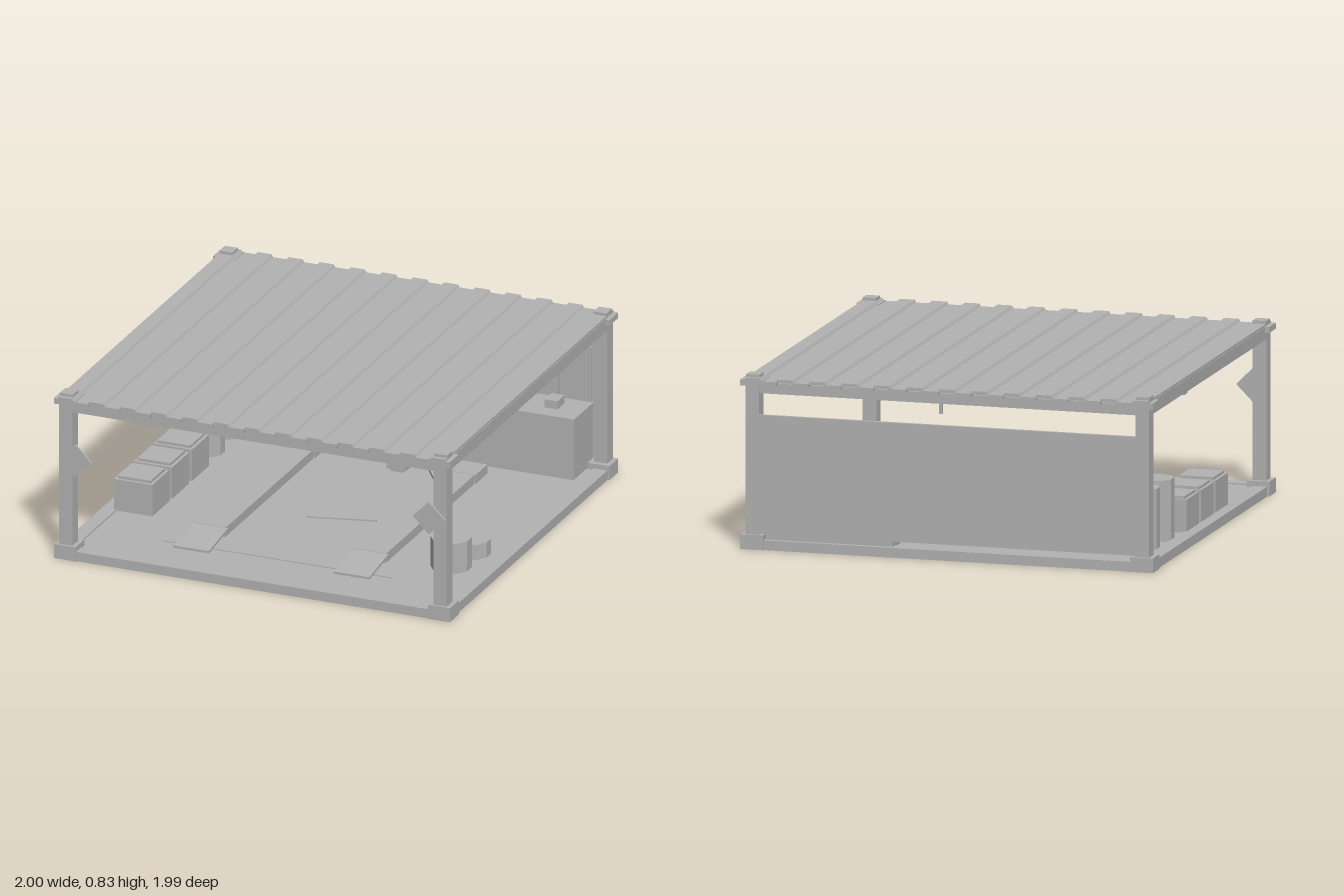
import * as THREE from 'three';

const grey = new THREE.MeshStandardMaterial({ color: 0xb2b2b2 });
grey.name = 'plain grey';

export function createModel() {
  const root = new THREE.Group();
  root.name = 'garageModule';

  const add = (name, geometry, parent = root) => {
    const mesh = new THREE.Mesh(geometry, grey);
    mesh.name = name;
    parent.add(mesh);
    return mesh;
  };
  // Box given by its limits on each axis
  const box = (name, [x0, x1], [y0, y1], [z0, z1], parent) => {
    const mesh = add(name, new THREE.BoxGeometry(x1 - x0, y1 - y0, z1 - z0), parent);
    mesh.position.set((x0 + x1) / 2, (y0 + y1) / 2, (z0 + z1) / 2);
    return mesh;
  };
  // Faceted drum standing on the floor
  const drum = (name, x, z, r, top, sides = 10) => {
    const g = new THREE.CylinderGeometry(r, r, top - FLOOR, sides).toNonIndexed();
    g.computeVertexNormals();
    add(name, g).position.set(x, (top + FLOOR) / 2, z);
  };
  // Side profile in (z, y), extruded along x
  const sideProfile = (name, points, x0, x1) => {
    const shape = new THREE.Shape(points.map(([z, y]) => new THREE.Vector2(-z, y)));
    const g = new THREE.ExtrudeGeometry(shape, { depth: x1 - x0, bevelEnabled: false });
    g.rotateY(Math.PI / 2);
    return add(name, g).translateX(x0);
  };
  // Square bar between two points
  const bar = (name, a, b, t) => {
    const p = new THREE.Vector3(...a), q = new THREE.Vector3(...b);
    const mesh = add(name, new THREE.BoxGeometry(t, t, p.distanceTo(q)));
    mesh.position.copy(p).lerp(q, 0.5);
    mesh.lookAt(q);
  };

  const FLOOR = 0.04;

  // Base and frame
  box('floor', [-0.985, 0.985], [0, FLOOR], [-0.985, 0.985]);
  for (const s of [-1, 1]) {
    const span = (a, b) => (s > 0 ? [a, b] : [-b, -a]);
    box('bottomSideRail', span(0.92, 0.99), [0, 0.047], [-0.99, 0.99]);
    box('bottomEndRail', [-0.92, 0.92], [0, 0.046], span(0.93, 0.99));
    box('topSideRail', span(0.92, 0.98), [0.74, 0.802], [-0.98, 0.98]);
    box('topEndRail', [-0.92, 0.92], [0.74, 0.79], span(0.93, 0.98));
    for (const t of [-1, 1]) {
      const spanZ = (a, b) => (t > 0 ? [a, b] : [-b, -a]);
      box('cornerPost', span(0.912, 0.978), [0, 0.8], spanZ(0.915, 0.982));
      box('lowerCornerBlock', span(0.89, 1), [0, 0.07], spanZ(0.89, 0.995));
      box('upperCornerBlock', span(0.89, 1), [0.775, 0.803], spanZ(0.89, 0.995));
      box('cornerCap', span(0.912, 0.977), [0.8, 0.826], spanZ(0.91, 0.975));
    }
    // Diamond signs on the front posts
    const sign = add('diamondSign', new THREE.BoxGeometry(0.115, 0.115, 0.01));
    sign.position.set(s * 0.893, 0.505, 0.988);
    sign.rotation.z = Math.PI / 4;
  }
  for (const z of [-0.55, 0.45]) box('roofPurlin', [-0.92, 0.92], [0.745, 0.785], [z - 0.025, z + 0.025]);

  // Corrugated roof: stepped strip profile extruded along z
  const top = [], step = 0.0785;
  for (let i = -12; i <= 12; i++) {
    const y = i % 2 === 0 ? 0.812 : 0.799;
    top.push([(i - 0.5) * step + 0.004, y], [(i + 0.5) * step - 0.004, y]);
  }
  const under = top.map(([x, y]) => [x, y - 0.016]).reverse();
  const roofShape = new THREE.Shape([...top, ...under].map(([x, y]) => new THREE.Vector2(x, y)));
  add('corrugatedRoof', new THREE.ExtrudeGeometry(roofShape, { depth: 1.99, bevelEnabled: false })).position.z = -0.995;

  // Back wall and tool board
  box('backWall', [-0.915, 0.915], [0.075, 0.638], [-0.985, -0.968]);
  box('toolBoard', [-0.88, 0.88], [0.155, 0.622], [-0.968, -0.957]);
  [-0.745, -0.505, -0.275, 0, 0.235, 0.47, 0.705].forEach((x, i) => {
    const tool = new THREE.Group();
    tool.name = 'hangingTool';
    root.add(tool);
    const y = i % 2 ? 0.53 : 0.565;
    const headY = i === 3 ? 0.53 : i === 4 ? 0.565 : y;
    box('toolHead', [x - 0.037, x + 0.037], [headY, headY + 0.037], [-0.957, -0.932], tool);
    box('toolHandle', [x - 0.014, x + 0.014], [0.35, headY], [-0.957, -0.94], tool);
    if (i === 5) box('toolTip', [x - 0.015, x + 0.015], [0.567, 0.59], [-0.957, -0.94], tool);
  });

  // Workbench and wall shelf
  box('workbenchBody', [0.27, 0.885], [FLOOR, 0.325], [-0.965, -0.735]);
  box('workbenchTop', [0.25, 0.89], [0.325, 0.347], [-0.967, -0.73]);
  box('benchVice', [0.705, 0.77], [0.347, 0.387], [-0.9, -0.815]);
  box('wallShelf', [-0.91, -0.205], [0.323, 0.34], [-0.957, -0.85]);
  for (const x of [-0.675, -0.505]) box('shelfBox', [x - 0.05, x + 0.05], [0.34, 0.42], [-0.945, -0.86]);

  // Overhead hoist
  box('hoistBeam', [-0.92, 0.92], [0.69, 0.742], [-0.225, -0.17]);
  box('hoistTrolley', [0.2, 0.33], [0.64, 0.712], [-0.262, -0.132]);
  box('hoistChain', [0.258, 0.274], [0.53, 0.64], [-0.205, -0.189]);

  // Jointed lamp on the front post
  bar('lampLowerArm', [0.915, 0.64, 0.92], [0.81, 0.692, 0.81], 0.016);
  bar('lampUpperArm', [0.81, 0.692, 0.81], [0.65, 0.668, 0.75], 0.016);
  box('lampHead', [0.588, 0.685], [0.625, 0.675], [0.715, 0.78]);
  box('lampLens', [0.605, 0.668], [0.612, 0.625], [0.725, 0.77]);

  // Two vehicle tracks with ramps and end stops
  for (const x of [-0.405, 0.405]) {
    box('track', [x - 0.075, x + 0.075], [FLOOR, 0.082], [-0.5, 0.54]);
    box('trackDeck', [x - 0.08, x + 0.08], [0.082, 0.09], [-0.5, 0.54]);
    sideProfile('trackRamp', [[0.765, 0.046], [0.54, 0.075], [0.54, 0.088], [0.765, 0.058]], x - 0.09, x + 0.09);
    box('trackEndStop', [x - 0.08, x + 0.08], [FLOOR, 0.085], [-0.655, -0.515]);
  }
  box('floorStrip', [-0.58, 0.58], [FLOOR, 0.044], [0.685, 0.697]);
  const rod = add('floorRod', new THREE.BoxGeometry(0.33, 0.008, 0.012));
  rod.position.set(0.084, 0.046, 0.13);
  rod.rotation.y = 0.25;

  // Control pedestal at the back
  box('pedestalBase', [-0.083, 0.083], [FLOOR, 0.14], [-0.735, -0.69]);
  box('pedestalPost', [-0.04, 0.04], [FLOOR, 0.204], [-0.705, -0.635]);

  // Crates and drums
  for (const z of [0.338, 0.105, -0.13]) {
    box('crate', [-0.935, -0.74], [FLOOR, 0.197], [z - 0.1, z + 0.1]);
    box('crateLid', [-0.92, -0.755], [0.197, 0.21], [z - 0.085, z + 0.085]);
  }
  drum('tallDrum', -0.83, -0.4, 0.092, 0.33);
  drum('tallDrum', -0.83, -0.632, 0.092, 0.33);
  drum('shortDrum', 0.775, 0.452, 0.097, 0.19);
  drum('lowDrum', 0.8, 0.265, 0.089, 0.115);

  return root;
}
